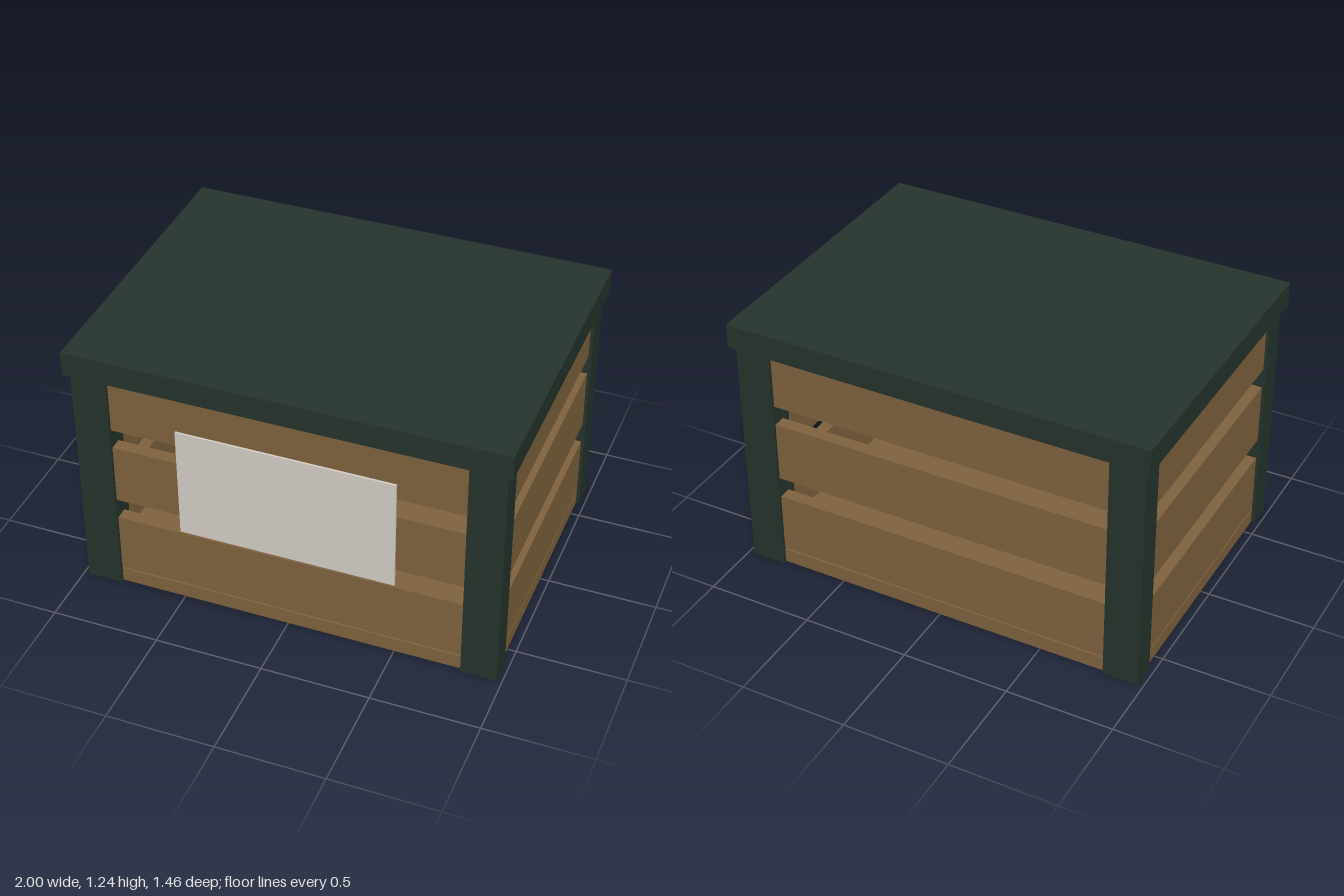
import * as THREE from 'three';

const wood = new THREE.MeshStandardMaterial({ color: 0x80643f });
const green = new THREE.MeshStandardMaterial({ color: 0x27342d });
const pale = new THREE.MeshStandardMaterial({ color: 0xd6d0c8 });

// Box given by its size, centre x and z, and bottom height
function box(name, material, [w, h, d], x, y, z) {
  const mesh = new THREE.Mesh(new THREE.BoxGeometry(w, h, d), material);
  mesh.name = name;
  mesh.position.set(x, y + h / 2, z);
  return mesh;
}

export function createModel() {
  const model = new THREE.Group();
  model.name = 'slattedCrate';

  const outerX = 0.975, outerZ = 0.705; // outer faces of the posts
  const postW = 0.165, postD = 0.12, postH = 1.13;
  const recess = 0.015, thick = 0.06; // slats sit slightly behind the posts

  // Lid and floor
  model.add(box('lid', green, [2, 0.115, 1.46], 0, 1.127, 0));
  model.add(box('floor', wood, [2 * (outerX - recess), 0.07, 2 * (outerZ - recess)], 0, 0.002, 0));

  // Corner posts
  for (const sx of [-1, 1]) {
    for (const sz of [-1, 1]) {
      model.add(box('cornerPost', green, [postW, postH, postD],
        sx * (outerX - postW / 2), 0, sz * (outerZ - postD / 2)));
    }
  }

  // Three rows of slats between the posts on all four sides
  const spanX = 2 * (outerX - postW), spanZ = 2 * (outerZ - postD);
  for (const y of [0.08, 0.47, 0.855]) {
    const h = y > 0.8 ? 0.274 : 0.29;
    for (const s of [-1, 1]) {
      model.add(box(s > 0 ? 'frontSlat' : 'backSlat', wood, [spanX, h, thick],
        0, y, s * (outerZ - recess - thick / 2)));
      model.add(box(s > 0 ? 'leftSlat' : 'rightSlat', wood, [thick, h, spanZ],
        s * (outerX - recess - thick / 2), y, 0));
    }
  }

  // Blank panel on the front
  model.add(box('frontPanel', pale, [1, 0.545, 0.01], 0, 0.39, outerZ - recess + 0.006));

  return model;
}
